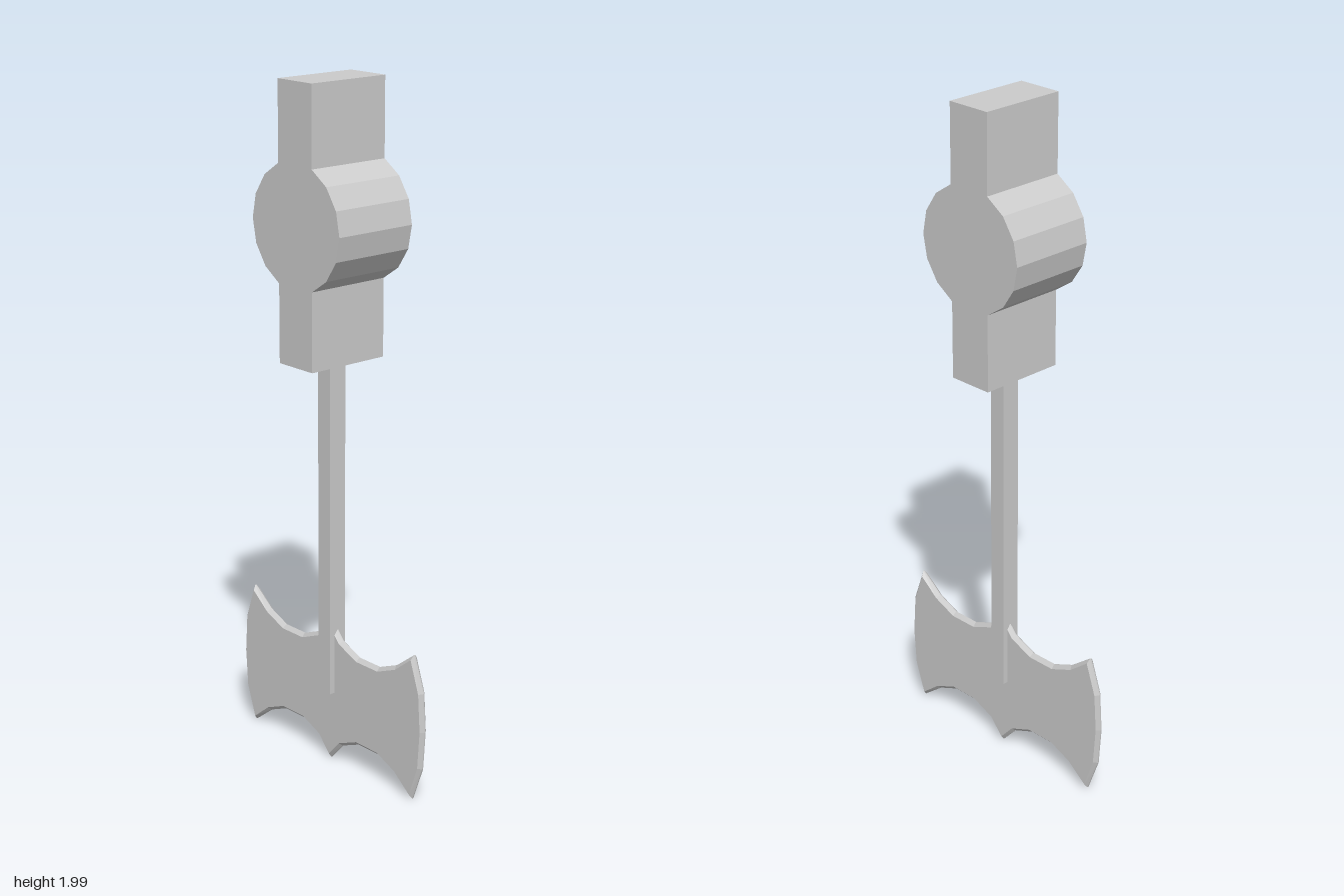
import * as THREE from 'three';

const material = new THREE.MeshStandardMaterial({ color: 0xcccccc, flatShading: true });

function shapeFrom(points) {
  return new THREE.Shape(points.map(([x, y]) => new THREE.Vector2(x, y)));
}

function addMesh(group, name, geometry, x, y, z) {
  const mesh = new THREE.Mesh(geometry, material);
  mesh.name = name;
  mesh.position.set(x, y, z);
  group.add(mesh);
}

export function createModel() {
  const group = new THREE.Group();
  group.name = 'swingingAxe';

  // Pivot housing: a block swelling into a 16-sided drum at mid height
  const radius = 0.179, half = 0.39, depth = 0.26;
  const neck = radius * Math.cos(Math.PI * 3 / 8);
  const outline = [];
  for (const side of [1, -1]) {
    outline.push([side * neck, -side * half]);
    for (let i = -3; i <= 3; i++) {
      const a = i * Math.PI / 8;
      outline.push([side * radius * Math.cos(a), side * radius * Math.sin(a)]);
    }
    outline.push([side * neck, side * half]);
  }
  const housing = new THREE.ExtrudeGeometry(shapeFrom(outline), { depth, bevelEnabled: false });
  addMesh(group, 'pivotHousing', housing, 0, 1.61, -depth / 2);

  // Square rod, sunk into the blade
  addMesh(group, 'rod', new THREE.BoxGeometry(0.05, 1.01, 0.057), 0, 0.73, 0);

  // Double-headed blade: one quarter of the outline, mirrored both ways
  const quarter = [[0.393, 0], [0.385, 0.115], [0.347, 0.22], [0.275, 0.165],
    [0.205, 0.136], [0.12, 0.136], [0.05, 0.165], [0, 0.22]];
  const flip = (pts, sx, sy) => pts.map(([x, y]) => [x * sx, y * sy]);
  const back = (pts) => pts.slice().reverse();
  const blade = [
    ...quarter,
    ...back(flip(quarter, -1, 1)).slice(1),
    ...flip(quarter, -1, -1).slice(1),
    ...back(flip(quarter, 1, -1)).slice(1, -1),
  ];
  const bladeGeometry = new THREE.ExtrudeGeometry(shapeFrom(blade), {
    depth: 0.004, bevelEnabled: true, bevelSegments: 1,
    bevelThickness: 0.01, bevelSize: 0.01, bevelOffset: -0.01,
  });
  addMesh(group, 'axeBlade', bladeGeometry, 0, 0.227, -0.003);

  // Stand on the ground and centre
  const box = new THREE.Box3().setFromObject(group);
  for (const part of group.children) part.position.y -= box.min.y;
  return group;
}
